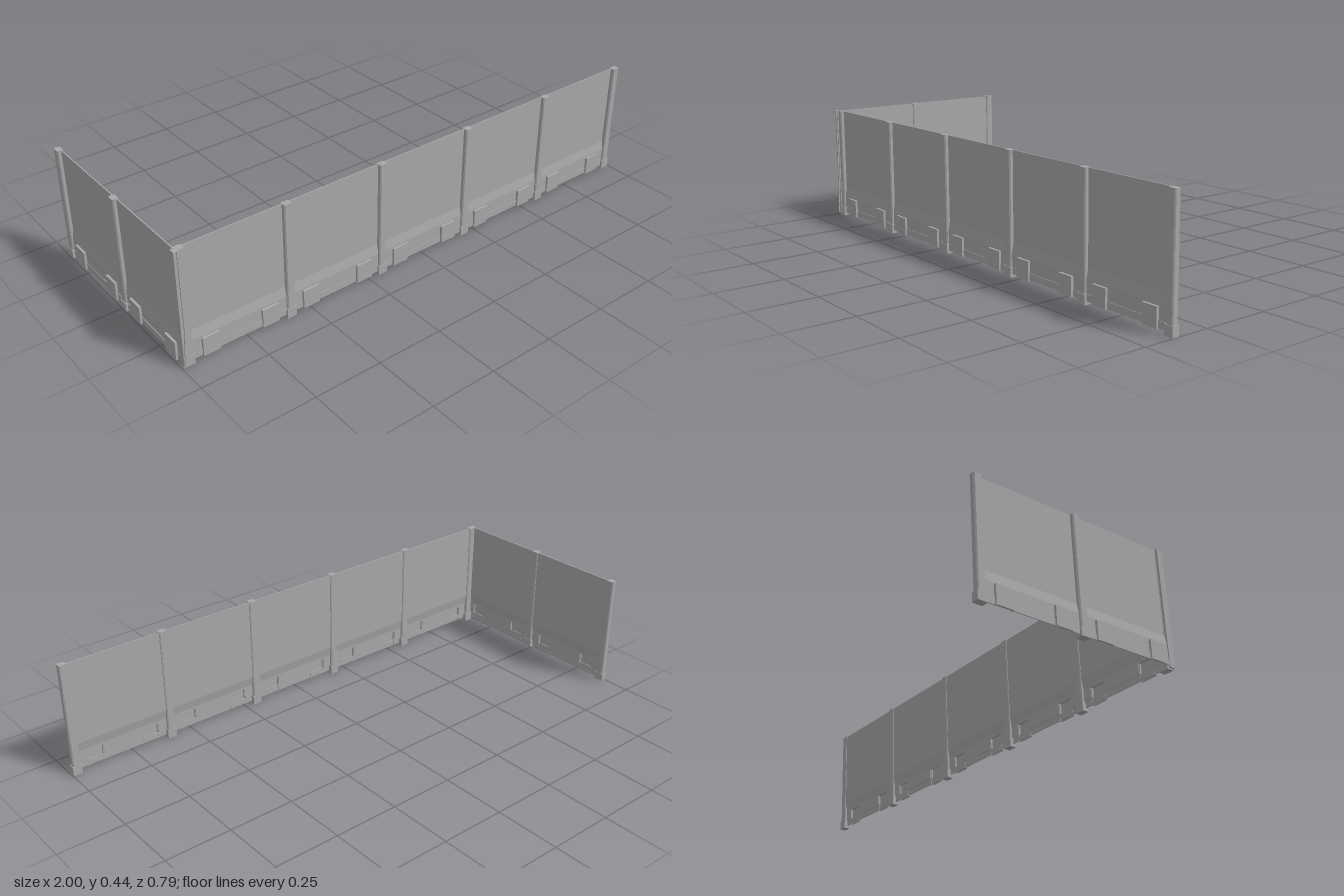
import * as THREE from 'three';

const grey = new THREE.MeshStandardMaterial({ color: 0xa8a8a8 });
grey.name = 'grey metal';
const PITCH = 0.39, POST = 0.015, TAB = 0.113, TAB_W = 0.032;

function add(parent, geometry, name) {
  const mesh = new THREE.Mesh(geometry, grey);
  mesh.name = name;
  parent.add(mesh);
  return mesh;
}

function box(parent, name, x0, x1, y0, y1, z0, z1) {
  add(parent, new THREE.BoxGeometry(x1 - x0, y1 - y0, z1 - z0), name)
    .position.set((x0 + x1) / 2, (y0 + y1) / 2, (z0 + z1) / 2);
}

const shapeOf = (points) => new THREE.Shape(points.map(([x, y]) => new THREE.Vector2(x, y)));
const extrude = (points, depth) =>
  new THREE.ExtrudeGeometry(shapeOf(points), { depth, bevelEnabled: false });

// One bent sheet with a notched lower edge and embossed feet, centred on x = 0
function panel(width) {
  const g = new THREE.Group();
  g.name = 'panel';
  const h = width / 2;

  // Upper sheet, kinked outward near the bottom
  const sheet = extrude([
    [0.372, 0.44], [0.372, 0.12], [0.378, 0.085], [0.378, 0.08],
    [0.382, 0.08], [0.382, 0.085], [0.376, 0.12], [0.376, 0.44],
  ], width);
  sheet.rotateY(-Math.PI / 2);
  sheet.translate(h, 0, 0);
  add(g, sheet, 'sheet');

  // Lower skirt, cut away behind the tabs
  const a = TAB - TAB_W, b = TAB + TAB_W;
  const skirt = extrude([
    [-h, 0.08], [-h, 0.035], [-b, 0.035], [-b, 0.076], [-a, 0.076], [-a, 0.035],
    [a, 0.035], [a, 0.076], [b, 0.076], [b, 0.035], [h, 0.035], [h, 0.08],
  ], 0.004);
  skirt.translate(0, 0, 0.378);
  add(g, skirt, 'skirt');
  box(g, 'bottomStrip', -h, h, 0.012, 0.036, 0.381, 0.384);

  // Hollow tabs standing out from the skirt
  for (const s of [-1, 1]) {
    const x0 = s * TAB - TAB_W, x1 = s * TAB + TAB_W;
    box(g, 'tabFace', x0, x1, 0.01, 0.079, 0.387, 0.391);
    box(g, 'tabTop', x0, x1, 0.075, 0.079, 0.38, 0.388);
    box(g, 'tabSide', x0, x0 + 0.003, 0.01, 0.077, 0.38, 0.388);
    box(g, 'tabSide', x1 - 0.003, x1, 0.01, 0.077, 0.38, 0.388);
  }
  return g;
}

// Chamfered upright with a wider foot
function post(footBottom) {
  const g = new THREE.Group();
  g.name = 'post';
  const w = POST, c = 0.004;
  const upright = extrude([
    [-w, -0.37], [-w, -0.386], [-w + c, -0.39], [w - c, -0.39],
    [w, -0.386], [w, -0.37], [w - c, -0.367], [-w + c, -0.367],
  ].reverse(), 0.43);
  upright.rotateX(-Math.PI / 2);
  upright.translate(0, 0.011, 0);
  add(g, upright, 'upright');
  box(g, 'foot', -w - 0.003, w + 0.003, footBottom, 0.036, 0.366, 0.392);
  return g;
}

// A run of panels between posts, starting at x = start
function wall(name, start, count, footBottom, cornerPost) {
  const g = new THREE.Group();
  g.name = name;
  for (let i = 0; i <= count; i++) {
    if (i < count) {
      const p = panel(PITCH - 0.01);
      p.position.x = start + (i + 0.5) * PITCH;
      g.add(p);
    }
    if (i < count || cornerPost) {
      const q = post(footBottom);
      q.position.x = start + i * PITCH;
      g.add(q);
    }
  }
  return g;
}

export function createModel() {
  const model = new THREE.Group();
  model.name = 'cornerFence';
  model.add(wall('longWall', -0.97, 5, 0, true));

  // Short wall runs back from the corner, its tabs facing -x
  const side = wall('shortWall', -0.377, 2, 0.005, false);
  side.rotation.y = -Math.PI / 2;
  side.position.x = -0.608;
  model.add(side);

  // Narrow edge piece closing the corner
  box(model, 'cornerEdge', -0.994, -0.975, 0.005, 0.44, 0.372, 0.394);
  return model;
}
